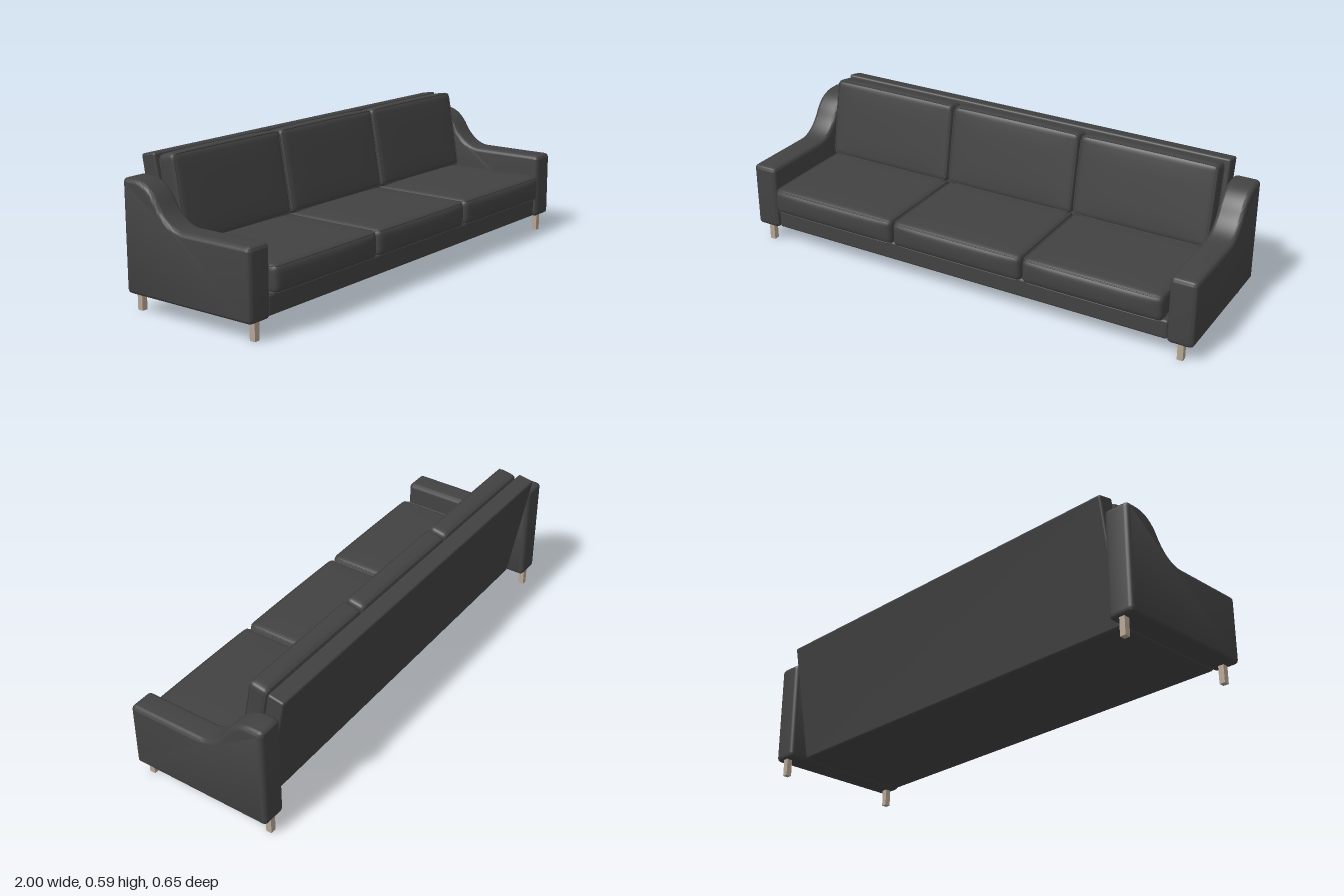
import * as THREE from 'three';
import { mergeVertices, toCreasedNormals } from 'three/addons/utils/BufferGeometryUtils.js';
import { RoundedBoxGeometry } from 'three/addons/geometries/RoundedBoxGeometry.js';

const upholstery = new THREE.MeshStandardMaterial({ name: 'charcoal upholstery', color: 0x424242 });
const wood = new THREE.MeshStandardMaterial({ name: 'pale wood', color: 0xb5a594 });

const TILT = -0.18; // lean of the backrest

function add(parent, name, geometry, material, x = 0, y = 0, z = 0) {
  const mesh = new THREE.Mesh(geometry, material);
  mesh.name = name;
  mesh.position.set(x, y, z);
  parent.add(mesh);
  return mesh;
}

// Rounded pad lying flat, with swollen top, bottom and ends
function padGeometry(w, h, d, r, swell) {
  let g = new THREE.BoxGeometry(w, h, d, 44, 10, 36);
  g.deleteAttribute('uv');
  g.deleteAttribute('normal');
  g = mergeVertices(g);
  const p = g.attributes.position;
  const v = new THREE.Vector3(), core = new THREE.Vector3();
  const inner = new THREE.Vector3(w / 2 - r, h / 2 - r, d / 2 - r);
  for (let i = 0; i < p.count; i++) {
    v.fromBufferAttribute(p, i);
    core.copy(v).clamp(inner.clone().negate(), inner);
    v.sub(core).setLength(r).add(core);
    const a = v.x / (w / 2), b = v.y / (h / 2), c = v.z / (d / 2);
    const fx = 1 - a ** 4, fy = 1 - b * b, fz = 1 - c ** 4;
    p.setXYZ(i, v.x, v.y + b * swell * fx * fz, v.z + c * swell * fx * fy);
  }
  g.computeVertexNormals();
  return g;
}

// Piping that follows the rounded rim of a pad
function pipingGeometry(w, d, r) {
  const inset = r * 0.29, c = r * 0.71;
  const hx = w / 2 - inset - c, hz = d / 2 - inset - c;
  const points = [];
  [[1, 1], [-1, 1], [-1, -1], [1, -1]].forEach(([sx, sz], q) => {
    for (let k = 0; k <= 4; k++) {
      const t = (q + k / 4) * Math.PI / 2;
      points.push(new THREE.Vector3(sx * hx + c * Math.cos(t), 0, sz * hz + c * Math.sin(t)));
    }
  });
  const path = new THREE.CatmullRomCurve3(points, true, 'centripetal');
  return new THREE.TubeGeometry(path, 120, 0.0035, 6, true);
}

function cushion(name, w, h, d, r, swell) {
  const group = new THREE.Group();
  group.name = name;
  add(group, 'pad', padGeometry(w, h, d, r, swell), upholstery);
  const piping = pipingGeometry(w, d, r);
  for (const s of [-1, 1]) add(group, 'piping', piping, upholstery, 0, s * (h / 2 - r * 0.29), 0);
  return group;
}

// Side profile with a swept-up rear, extruded across the arm width
function armGeometry() {
  const s = new THREE.Shape();
  s.moveTo(-0.29, 0.072);
  s.lineTo(0.28, 0.072);
  s.quadraticCurveTo(0.298, 0.072, 0.298, 0.09);
  s.lineTo(0.298, 0.325);
  s.quadraticCurveTo(0.298, 0.347, 0.276, 0.347);
  s.lineTo(-0.02, 0.347);
  s.bezierCurveTo(-0.07, 0.347, -0.115, 0.385, -0.14, 0.43);
  s.bezierCurveTo(-0.17, 0.482, -0.21, 0.507, -0.265, 0.507);
  s.lineTo(-0.29, 0.507);
  s.quadraticCurveTo(-0.311, 0.507, -0.311, 0.488);
  s.lineTo(-0.311, 0.093);
  s.quadraticCurveTo(-0.311, 0.072, -0.29, 0.072);
  const bevel = 0.018, width = 0.108;
  const g = new THREE.ExtrudeGeometry(s, {
    depth: width - 2 * bevel, curveSegments: 12, bevelEnabled: true,
    bevelThickness: bevel, bevelSize: bevel, bevelOffset: -bevel, bevelSegments: 5,
  });
  g.translate(0, 0, -(width / 2 - bevel));
  g.rotateY(-Math.PI / 2);
  return toCreasedNormals(g, 0.7);
}

export function createModel() {
  const sofa = new THREE.Group();
  sofa.name = 'sofa';

  // Frame
  add(sofa, 'base', new RoundedBoxGeometry(1.784, 0.08, 0.52, 3, 0.01), upholstery, 0, 0.115, 0.027);
  const back = add(sofa, 'backrest', new RoundedBoxGeometry(1.78, 0.505, 0.07, 3, 0.009),
    upholstery, 0, 0.331, -0.246);
  back.rotation.x = TILT;

  // Arms and legs
  const arm = armGeometry();
  const leg = new THREE.BoxGeometry(0.024, 0.076, 0.024);
  for (const side of [1, -1]) {
    const name = side > 0 ? 'left' : 'right';
    add(sofa, name + 'Arm', arm, upholstery, side * 0.946, 0, 0);
    add(sofa, name + 'FrontLeg', leg, wood, side * 0.945, 0.038, 0.267);
    add(sofa, name + 'BackLeg', leg, wood, side * 0.945, 0.038, -0.288);
  }

  // Three seat cushions and three leaning back cushions
  for (const x of [-0.595, -0.005, 0.585]) {
    const seat = cushion('seatCushion', 0.582, 0.108, 0.465, 0.022, 0.008);
    seat.position.set(x, 0.209, 0.083);
    const rest = cushion('backCushion', 0.582, 0.08, 0.335, 0.018, 0.005);
    rest.position.set(x, 0.421, -0.175);
    rest.rotation.x = Math.PI / 2 + TILT;
    sofa.add(seat, rest);
  }
  return sofa;
}
